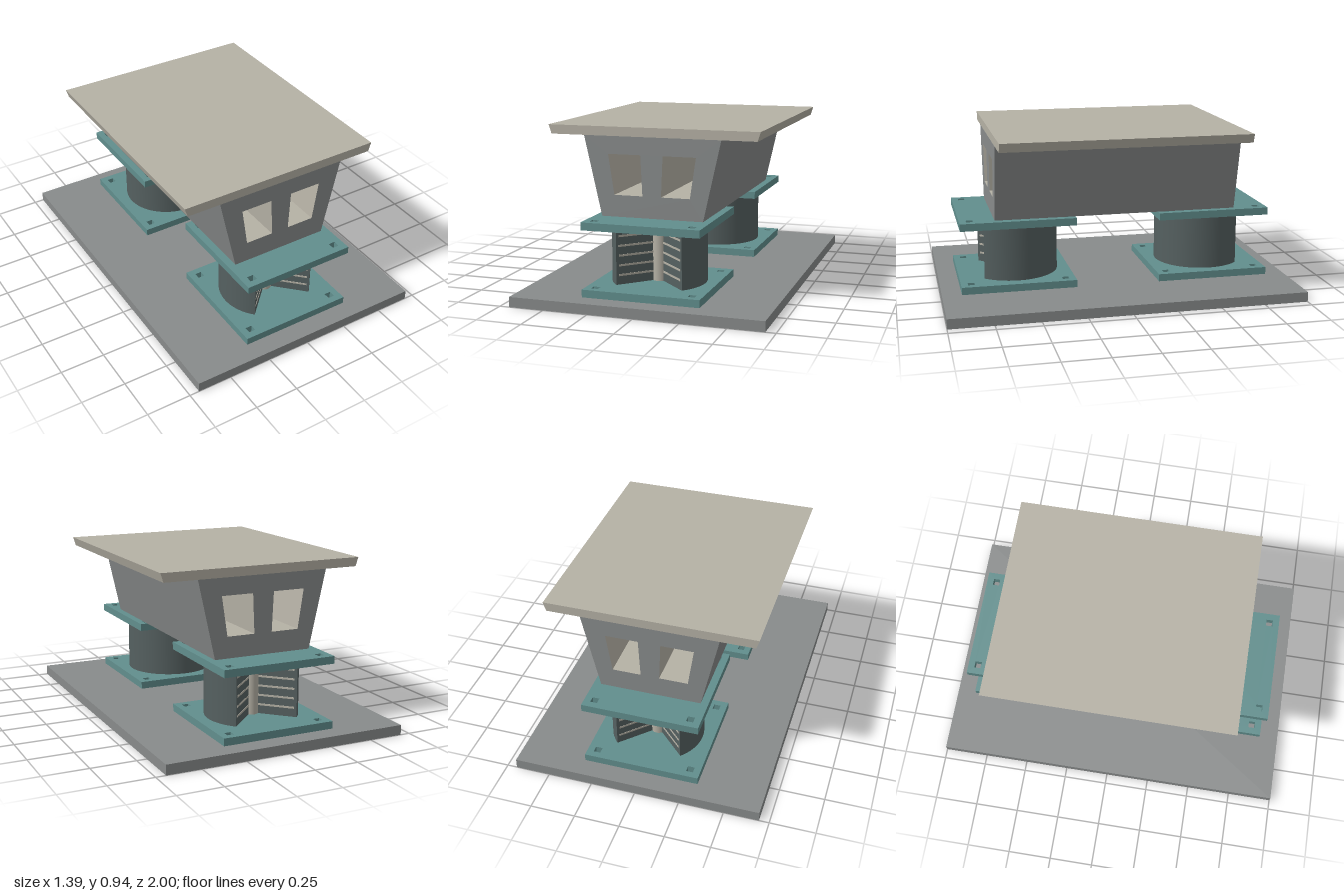
import * as THREE from 'three';

const mat = (name, color) => {
  const m = new THREE.MeshStandardMaterial({ color });
  m.name = name;
  return m;
};

export function createModel() {
  const concrete = mat('concrete grey', 0x888b8b);
  const cream = mat('cream', 0xb5b1a5);
  const steel = mat('teal steel', 0x618e8d);
  const rubber = mat('dark rubber', 0x556060);

  const model = new THREE.Group();
  model.name = 'isolatedBridge';

  const add = (parent, name, geometry, material, x = 0, y = 0, z = 0) => {
    const mesh = new THREE.Mesh(geometry, material);
    mesh.name = name;
    mesh.position.set(x, y, z);
    parent.add(mesh);
    return mesh;
  };
  const points = list => list.map(([x, y]) => new THREE.Vector2(x, y));
  // Prism running along z, centred on z = 0
  const prism = (shape, depth) =>
    new THREE.ExtrudeGeometry(shape, { depth, bevelEnabled: false }).translate(0, 0, -depth / 2);

  // Foundation slab
  add(model, 'foundationSlab', new THREE.BoxGeometry(1.39, 0.056, 2), concrete, 0, 0.028, 0);

  // Square steel plate with four square bolt holes, lying flat
  const plateShape = new THREE.Shape(points([[-0.325, -0.325], [0.325, -0.325], [0.325, 0.325], [-0.325, 0.325]]));
  for (const sx of [-1, 1]) for (const sz of [-1, 1]) {
    const x = sx * 0.268, y = sz * 0.268, h = 0.019;
    plateShape.holes.push(new THREE.Path(points([[x - h, y - h], [x - h, y + h], [x + h, y + h], [x + h, y - h]])));
  }
  const plateGeo = prism(plateShape, 0.042).rotateX(-Math.PI / 2);

  // Bearing: rubber drum with a quarter cut away to show the core and shims
  const R = 0.26, bottom = 0.098, top = 0.418, H = top - bottom, mid = (top + bottom) / 2;
  const drumGeo = new THREE.CylinderGeometry(R, R, H, 64, 1, true, Math.PI / 4, Math.PI * 1.5);
  const coreGeo = new THREE.CylinderGeometry(0.042, 0.042, H, 32);
  const cutGeo = new THREE.PlaneGeometry(R, H);
  const shimGeo = new THREE.BoxGeometry(0.205, 0.011, 0.004);

  for (const end of [1, -1]) {
    const bearing = new THREE.Group();
    bearing.name = end > 0 ? 'frontBearing' : 'backBearing';
    bearing.position.z = end * 0.565;
    bearing.rotation.y = end > 0 ? 0 : Math.PI;
    add(bearing, 'lowerPlate', plateGeo, steel, 0, 0.077, 0);
    add(bearing, 'upperPlate', plateGeo, steel, 0, 0.439, 0);
    add(bearing, 'rubberDrum', drumGeo, rubber, 0, mid, 0);
    add(bearing, 'core', coreGeo, cream, 0, mid, 0);
    for (const side of [-1, 1]) {
      const cut = new THREE.Group();
      cut.name = side > 0 ? 'leftCutFace' : 'rightCutFace';
      cut.rotation.y = -side * Math.PI / 4;
      add(cut, 'cutRubber', cutGeo, rubber, side * R / 2, mid, 0);
      for (let i = 0; i < 5; i++)
        add(cut, 'shim', shimGeo, cream, side * 0.1425, 0.15 + i * 0.0535, 0);
      bearing.add(cut);
    }
    model.add(bearing);
  }

  // Tapered girder with two through openings
  const girderShape = new THREE.Shape(points([[-0.283, 0.46], [0.283, 0.46], [0.38, 0.893], [-0.38, 0.893]]));
  for (const s of [-1, 1])
    girderShape.holes.push(new THREE.Path(points(
      [[s * 0.052, 0.578], [s * 0.062, 0.797], [s * 0.244, 0.797], [s * 0.211, 0.578]])));
  const girderGeo = prism(girderShape, 1.39);
  // Ends and four outer walls are concrete, the walls of the openings cream
  const [caps, walls] = girderGeo.groups.map(g => ({ ...g }));
  girderGeo.clearGroups();
  girderGeo.addGroup(caps.start, caps.count + 24, 0);
  girderGeo.addGroup(walls.start + 24, walls.count - 24, 1);
  add(model, 'girder', girderGeo, [concrete, cream]);

  // Deck slab with sloping long edges
  const deckShape = new THREE.Shape(points([[-0.57, 0.893], [0.57, 0.893], [0.586, 0.943], [-0.586, 0.943]]));
  add(model, 'deck', prism(deckShape, 1.39), cream);

  return model;
}
